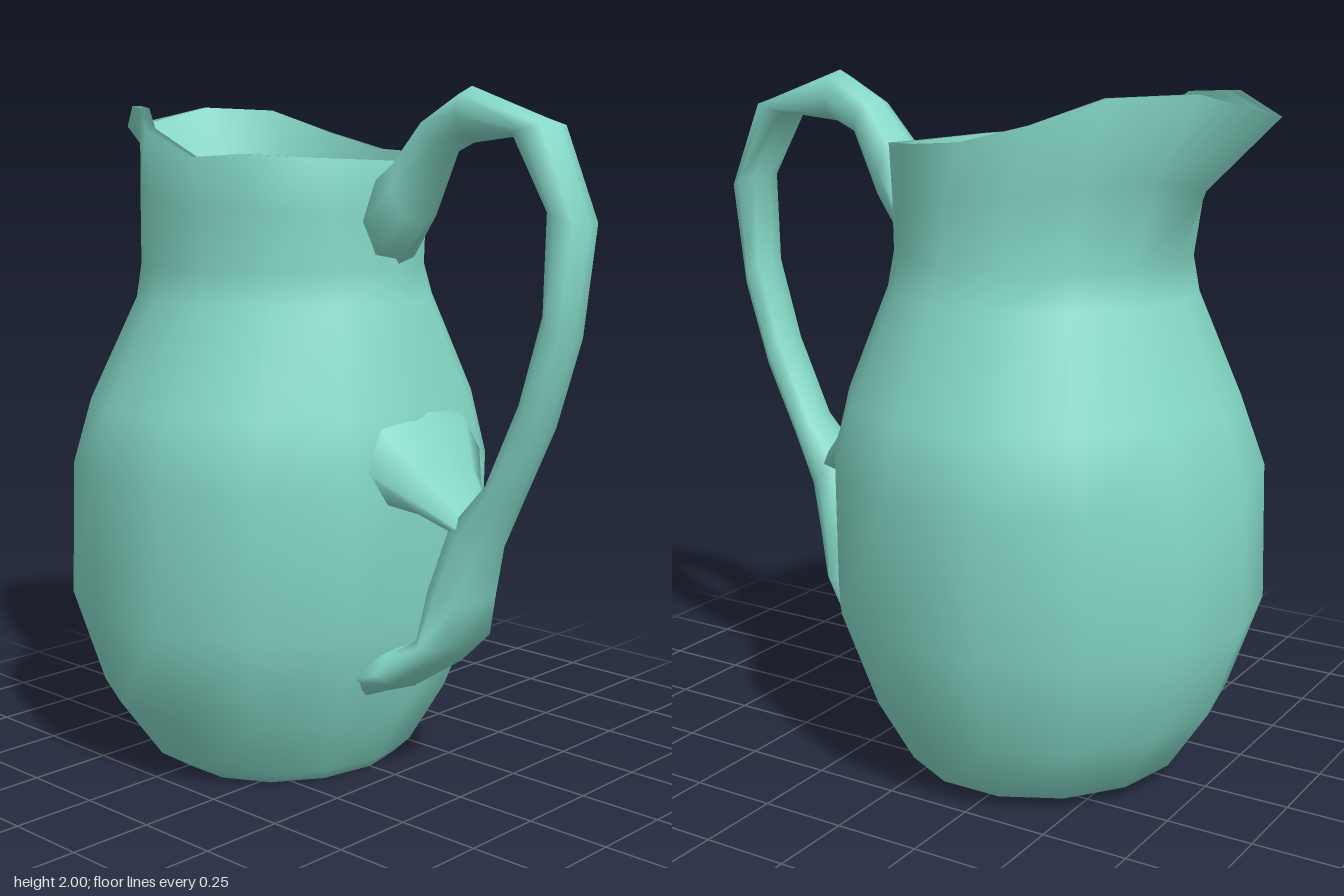
import * as THREE from 'three';

const glaze = new THREE.MeshStandardMaterial({ color: 0x84d8c6 });
glaze.name = 'seafoamGlaze';

// Smooth skin over closed rings of points, with both ends capped
function loft(name, rings) {
  const n = rings[0].length;
  const points = rings.flat();
  const index = [];
  for (let j = 0; j < rings.length - 1; j++) {
    for (let i = 0; i < n; i++) {
      const k = (i + 1) % n;
      const a = j * n + i, b = j * n + k, c = b + n, d = a + n;
      index.push(a, b, c, a, c, d);
    }
  }
  const middle = ring => ring.reduce((s, p) => s.add(p), new THREE.Vector3()).divideScalar(n);
  const start = points.length, end = start + 1, last = (rings.length - 1) * n;
  points.push(middle(rings[0]), middle(rings[rings.length - 1]));
  for (let i = 0; i < n; i++) {
    const k = (i + 1) % n;
    index.push(start, k, i, end, last + i, last + k);
  }
  const geometry = new THREE.BufferGeometry().setFromPoints(points);
  geometry.setIndex(index);
  geometry.computeVertexNormals();
  const mesh = new THREE.Mesh(geometry, glaze);
  mesh.name = name;
  return mesh;
}

// Level ring of the jug: height, left x, right x, front and back depth.
// The belly is flattened behind the handle.
const SIDES = 14, FLAT_X = 0.345;
function bodyRing([y, left, right, front, back], inset = 0) {
  return Array.from({ length: SIDES }, (_, i) => {
    const a = Math.PI - (i * 2 * Math.PI) / SIDES;
    const s = Math.sin(a) / 0.975;
    const x = (left + right) / 2 + ((right - left) / 2 - inset) * Math.cos(a);
    return new THREE.Vector3(Math.min(x, FLAT_X - inset), y, ((s > 0 ? front : back) - inset) * s);
  });
}

// Hollow jug with a wavy rim drawn out into a spout
function makeBody() {
  const profile = [
    [0, -0.5, 0.15, 0.37, 0.32],
    [0.035, -0.63, 0.18, 0.42, 0.43],
    [0.22, -0.75, 0.29, 0.55, 0.53],
    [0.5, -0.85, 0.41, 0.635, 0.61],
    [0.9, -0.84, 0.41, 0.625, 0.625],
    [1.1, -0.76, 0.36, 0.59, 0.57],
    [1.4, -0.64, 0.25, 0.44, 0.43],
    [1.5, -0.62, 0.24, 0.43, 0.385]
  ];
  const rim = [
    [-0.89, 1.9, 0.03], [-0.72, 1.96, 0.15], [-0.54, 1.95, 0.27], [-0.42, 1.89, 0.35],
    [-0.15, 1.81, 0.42], [0.03, 1.82, 0.4], [0.16, 1.81, 0.26], [0.24, 1.8, 0],
    [0.17, 1.81, -0.23], [0.02, 1.82, -0.38], [-0.15, 1.83, -0.38], [-0.36, 1.88, -0.37],
    [-0.55, 1.95, -0.29], [-0.75, 1.96, -0.17]
  ].map(p => new THREE.Vector3(...p));

  const outer = profile.map(p => bodyRing(p));
  const neck = outer[outer.length - 1];
  const throat = neck.map((p, i) => {
    const q = p.clone().lerp(rim[i], 0.27);
    q.y = THREE.MathUtils.lerp(p.y, rim[i].y, 0.5);
    return q;
  });
  const shrink = ring => ring.map(p => new THREE.Vector3(-0.2 + (p.x + 0.2) * 0.94, p.y, p.z * 0.93));
  const inner = profile.slice(1)
    .map(p => bodyRing([Math.max(p[0], 0.07), ...p.slice(1)], 0.035))
    .reverse();
  return loft('body', [...outer, throat, rim, shrink(rim), shrink(throat), ...inner]);
}

// Oval strap from sections: inner x, y, outer x, y, half width
function strap(name, sections) {
  return loft(name, sections.map(([xi, yi, xo, yo, w]) =>
    Array.from({ length: 8 }, (_, i) => {
      const t = (i * Math.PI) / 4, c = Math.cos(t);
      return new THREE.Vector3(
        (xi + xo) / 2 + ((xo - xi) / 2) * c,
        (yi + yo) / 2 + ((yo - yi) / 2) * c,
        -0.02 + w * Math.sin(t)
      );
    })));
}

export function createModel() {
  const jug = new THREE.Group();
  jug.name = 'jug';
  jug.add(makeBody());

  // Looped handle, flaring where it meets the body
  jug.add(strap('handle', [
    [0.21, 1.48, 0.21, 1.78, 0.13],
    [0.32, 1.62, 0.26, 1.82, 0.1],
    [0.41, 1.81, 0.35, 1.92, 0.08],
    [0.5, 1.85, 0.49, 2.0, 0.08],
    [0.65, 1.87, 0.78, 1.9, 0.08],
    [0.77, 1.68, 0.885, 1.64, 0.08],
    [0.77, 1.42, 0.84, 1.33, 0.08],
    [0.7, 1.18, 0.76, 1.08, 0.08],
    [0.59, 0.94, 0.66, 0.87, 0.08],
    [0.47, 0.81, 0.59, 0.72, 0.1],
    [0.41, 0.62, 0.55, 0.58, 0.13],
    [0.39, 0.47, 0.51, 0.45, 0.16],
    [0.33, 0.43, 0.36, 0.32, 0.22],
    [0.22, 0.43, 0.24, 0.24, 0.25]
  ]));

  // Short bridge between the body and the lower handle
  jug.add(strap('handleBridge', [
    [0.22, 0.82, 0.22, 1.22, 0.26],
    [0.33, 0.82, 0.34, 1.1, 0.25],
    [0.41, 0.81, 0.42, 0.96, 0.16],
    [0.52, 0.76, 0.53, 0.84, 0.08]
  ]));
  return jug;
}
